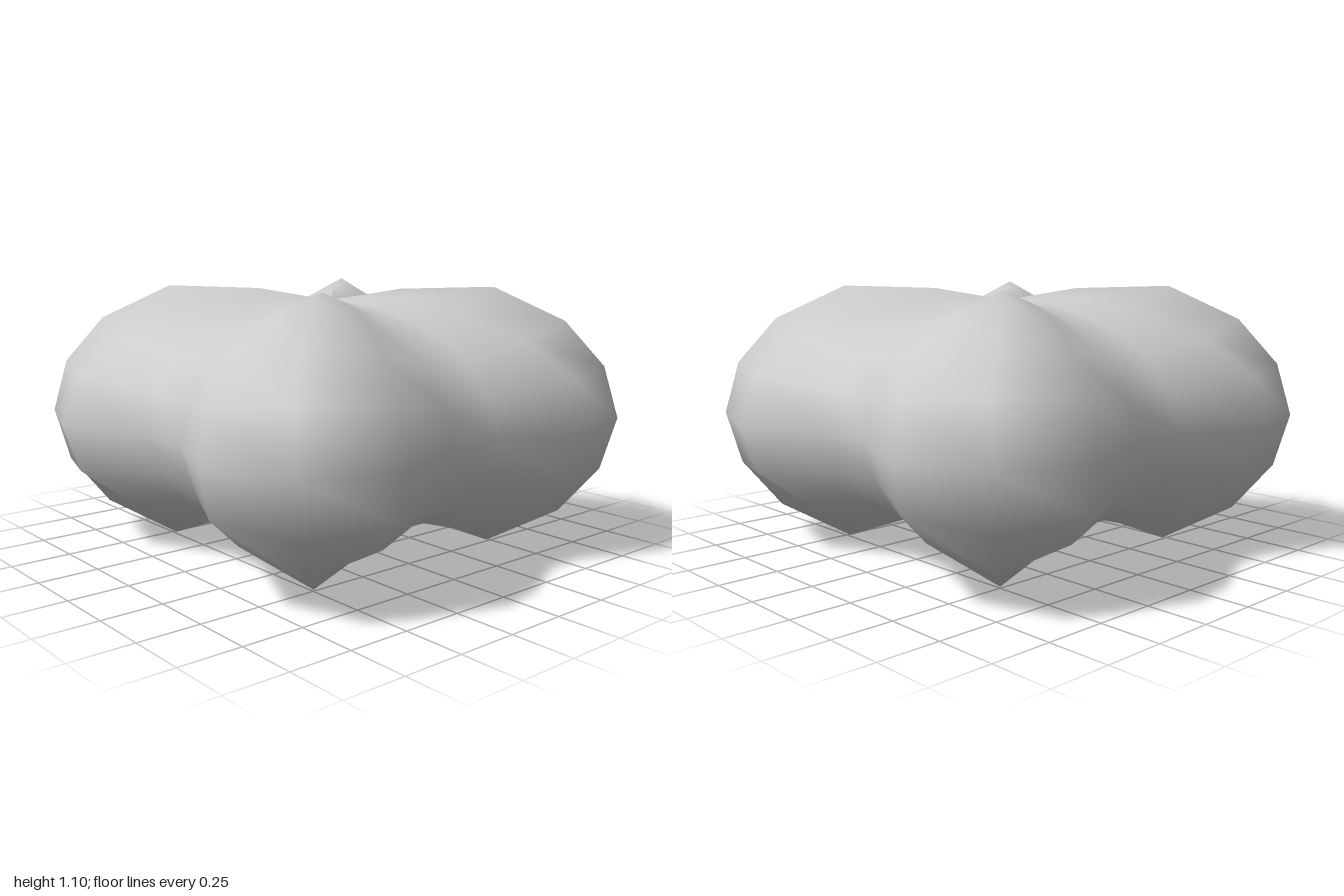
import * as THREE from 'three';

const SEGMENTS = 20; // 18 degrees each, five per lobe
const MID_Y = 0.55;

// Horizontal rings from top to bottom: [radius, height] on the lobe crest, flank and valley
const RINGS = [
  [[0, 0.49], [0, 0.49], [0, 0.49]],
  [[0.30, 0.54], [0.28, 0.50], [0.26, 0.47]],
  [[0.69, 0.55], [0.573, 0.455], [0.51, 0.40]],
  [[0.99, 0.41], [0.85, 0.35], [0.70, 0.29]],
  [[1.16, 0.22], [1.055, 0.20], [0.80, 0.155]],
  [[1.225, 0], [1.12, 0], [0.85, 0]],
  [[1.16, -0.22], [1.055, -0.20], [0.80, -0.155]],
  [[0.99, -0.41], [0.85, -0.35], [0.70, -0.29]],
  [[0.69, -0.55], [0.573, -0.45], [0.51, -0.395]],
  [[0.30, -0.42], [0.27, -0.40], [0.25, -0.385]],
  [[0, -0.385], [0, -0.385], [0, -0.385]],
];
const KIND = [0, 1, 2, 2, 1]; // crest, flank, valley, valley, flank

function lobedGeometry() {
  const positions = [];
  const indices = [];
  for (const ring of RINGS) {
    for (let k = 0; k < SEGMENTS; k++) {
      const angle = Math.PI / 4 + (k / SEGMENTS) * Math.PI * 2;
      const [r, y] = ring[KIND[k % 5]];
      positions.push(r * Math.cos(angle), y + MID_Y, r * Math.sin(angle));
    }
  }
  const last = RINGS.length - 2;
  for (let i = 0; i <= last; i++) {
    for (let k = 0; k < SEGMENTS; k++) {
      const next = (k + 1) % SEGMENTS;
      const a = i * SEGMENTS + k;
      const b = i * SEGMENTS + next;
      const c = a + SEGMENTS;
      const d = b + SEGMENTS;
      if (i > 0) indices.push(a, b, c); // collapsed at the top pole
      if (i < last) indices.push(b, d, c); // collapsed at the bottom pole
      if (i === 0) continue;
    }
  }
  const geometry = new THREE.BufferGeometry();
  geometry.setAttribute('position', new THREE.Float32BufferAttribute(positions, 3));
  geometry.setIndex(indices);
  geometry.computeVertexNormals();
  return geometry;
}

export function createModel() {
  const group = new THREE.Group();
  group.name = 'fourLobedForm';
  const body = new THREE.Mesh(lobedGeometry(), new THREE.MeshStandardMaterial({ color: 0xcccccc }));
  body.name = 'lobedBody';
  group.add(body);
  return group;
}
